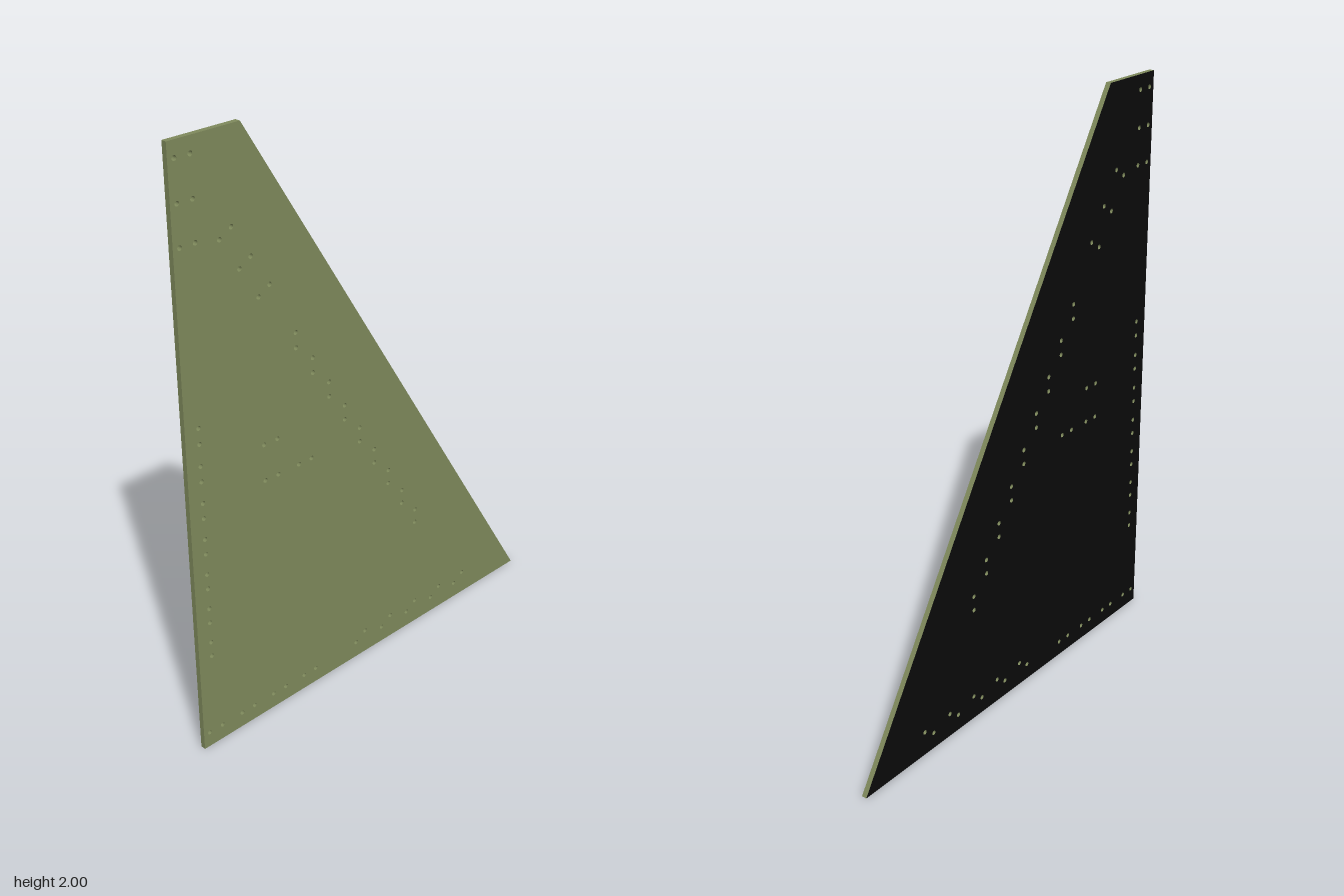
import * as THREE from 'three';

const THICKNESS = 0.018;
const HOLE_RADIUS = 0.008;

// Centres of the drilled holes, as rows of pairs
function holeCentres() {
  const holes = [];
  const pairs = (count, [ax, ay], [bx, by], [dx, dy]) => {
    for (let i = 0; i < count; i++) {
      holes.push([ax + dx * i, ay + dy * i], [bx + dx * i, by + dy * i]);
    }
  };
  // top corner
  pairs(3, [-0.727, 1.95], [-0.674, 1.95], [0, -0.125]);
  // along the sloped edge: tilted pairs, then upright pairs
  pairs(3, [-0.59, 1.685], [-0.547, 1.711], [0.0663, -0.106]);
  pairs(9, [-0.319, 1.315], [-0.319, 1.265], [0.0662, -0.106]);
  // along the upright edge
  pairs(7, [-0.7, 1.141], [-0.7, 1.089], [0, -0.125]);
  // middle
  pairs(1, [-0.457, 0.99], [-0.404, 0.99], [0, 0]);
  pairs(2, [-0.457, 0.866], [-0.404, 0.866], [0.138, 0]);
  // along the bottom edge: level pairs, then tilted pairs
  pairs(4, [-0.727, 0.053], [-0.674, 0.053], [0.136, 0]);
  pairs(5, [-0.076, 0.058], [-0.033, 0.085], [0.125, 0]);
  return holes;
}

export function createModel() {
  const olive = new THREE.MeshStandardMaterial({ color: 0x7f8a5c });
  olive.name = 'olive';
  const black = new THREE.MeshStandardMaterial({ color: 0x0a0a0a });
  black.name = 'black';

  // Tapered panel outline
  const outline = new THREE.Shape();
  outline.moveTo(-0.75, 0);
  outline.lineTo(0.75, 0);
  outline.lineTo(-0.5, 2);
  outline.lineTo(-0.75, 2);
  outline.closePath();
  for (const [x, y] of holeCentres()) {
    const hole = new THREE.Path();
    hole.absarc(x, y, HOLE_RADIUS, 0, Math.PI * 2, true);
    outline.holes.push(hole);
  }

  const geometry = new THREE.ExtrudeGeometry(outline, {
    depth: THICKNESS, bevelEnabled: false, curveSegments: 8,
  });
  geometry.translate(0, 0, -THICKNESS / 2);

  // The first half of the caps is the back face: black. Front and edges: olive.
  const backCount = geometry.groups[0].count / 2;
  const total = geometry.attributes.position.count;
  geometry.clearGroups();
  geometry.addGroup(0, backCount, 1);
  geometry.addGroup(backCount, total - backCount, 0);

  const panel = new THREE.Mesh(geometry, [olive, black]);
  panel.name = 'drilledPanel';

  const model = new THREE.Group();
  model.name = 'taperedPanel';
  model.add(panel);
  return model;
}
